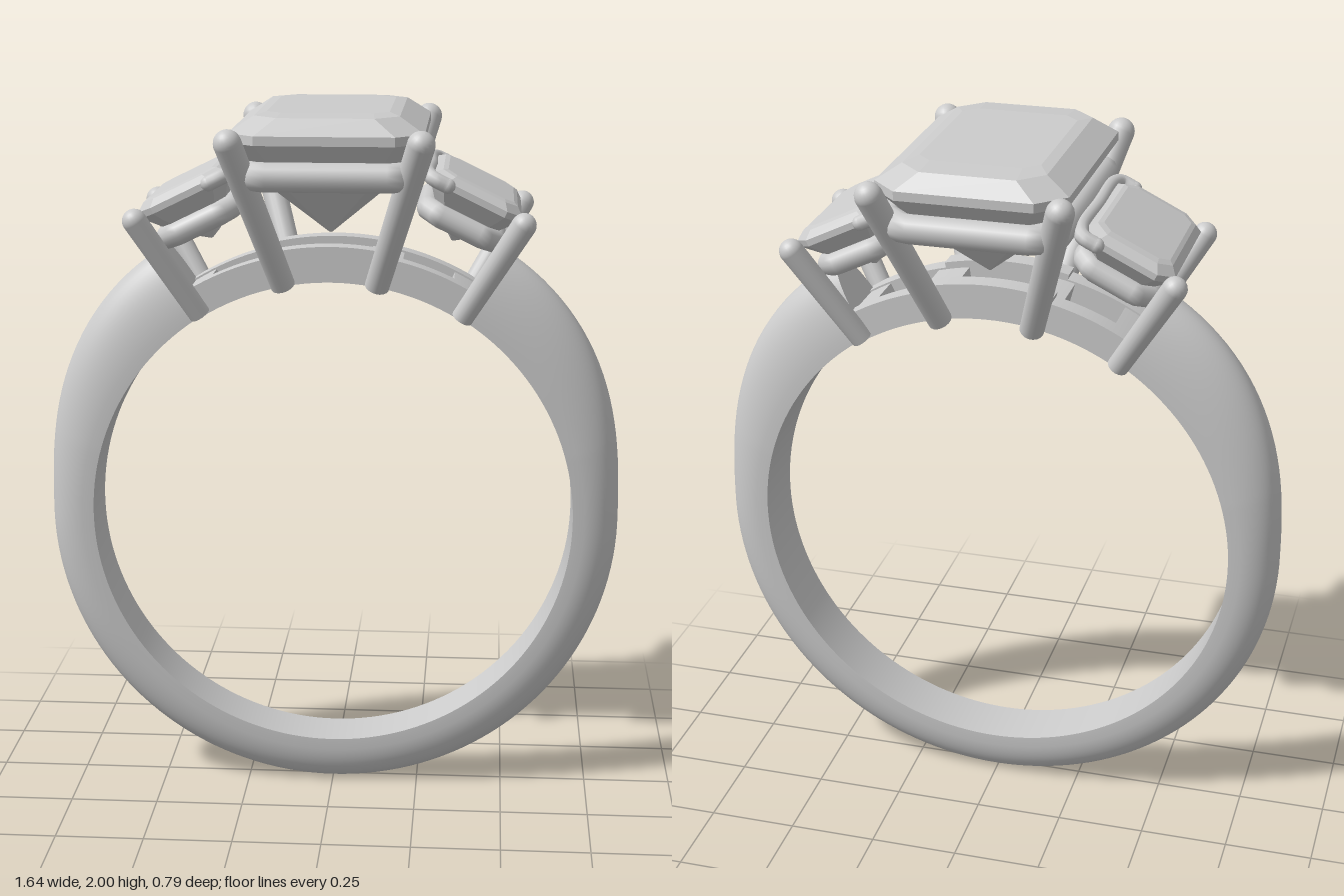
import * as THREE from 'three';
import { ParametricGeometry } from 'three/addons/geometries/ParametricGeometry.js';

const CY = 0.83, R_IN = 0.69, OPEN = 0.55; // ring centre height, finger radius, half angle of the open top

const metal = new THREE.MeshStandardMaterial({ color: 0xcccccc });
const metalThin = new THREE.MeshStandardMaterial({ color: 0xcccccc, side: THREE.DoubleSide });
const gem = new THREE.MeshStandardMaterial({ color: 0xcccccc, flatShading: true });

function add(parent, name, geometry, material = metal) {
  const mesh = new THREE.Mesh(geometry, material);
  mesh.name = name;
  parent.add(mesh);
  return mesh;
}

// Point of the D-shaped band: t is the angle from the top, s runs over the dome, k goes from flat (0) to dome (1)
function bandPoint(t, s, k, target) {
  const up = (1 + Math.cos(t)) / 2;
  const width = 0.08 + 0.018 * Math.min(1, up * 1.6);
  const swell = THREE.MathUtils.smoothstep(Math.cos(t), 0.0, 0.85);
  const outer = 0.822 + 0.085 * swell + 0.008 * Math.max(0, -Math.cos(t));
  const a = s * Math.PI;
  const shoulder = R_IN + 0.035;
  const dome = s <= 0 || s >= 1 ? R_IN : shoulder + (outer - shoulder) * Math.sin((s - 0.04) / 0.92 * Math.PI);
  const r = THREE.MathUtils.lerp(R_IN, dome, k);
  const z = width * Math.sign(Math.cos(a)) * Math.pow(Math.abs(Math.cos(a)), 0.9);
  target.set(Math.sin(t) * r, CY + Math.cos(t) * r, z);
}

// Step-cut stone lofted from octagons, bottom to top: [halfWidth, halfDepth, cornerCut, y]
function stepCut(levels) {
  const rings = levels.map(([w, d, c, y]) => {
    const e = w - c, f = d - c;
    return [[w, -f], [e, -d], [-e, -d], [-w, -f], [-w, f], [-e, d], [e, d], [w, f]].map(([x, z]) => [x, y, z]);
  });
  const pos = [];
  const tri = (...pts) => pts.forEach((p) => pos.push(...p));
  for (let l = 0; l < rings.length - 1; l++) {
    const a = rings[l], b = rings[l + 1];
    for (let i = 0; i < 8; i++) {
      const j = (i + 1) % 8;
      tri(a[i], a[j], b[j]);
      tri(a[i], b[j], b[i]);
    }
  }
  const low = rings[0], top = rings[rings.length - 1];
  for (let i = 1; i < 7; i++) {
    tri(top[0], top[i], top[i + 1]);
    tri(low[0], low[i + 1], low[i]);
  }
  const g = new THREE.BufferGeometry();
  g.setAttribute('position', new THREE.Float32BufferAttribute(pos, 3));
  g.computeVertexNormals();
  return g;
}

// Closed round wire following a rectangle with cut corners
function wireFrame(w, d, c, y, radius) {
  const e = w - c, f = d - c;
  const pts = [[w, -f], [e, -d], [-e, -d], [-w, -f], [-w, f], [-e, d], [e, d], [w, f]]
    .map(([x, z]) => new THREE.Vector3(x, y, z));
  const path = new THREE.CurvePath();
  pts.forEach((p, i) => path.add(new THREE.LineCurve3(p, pts[(i + 1) % 8])));
  return new THREE.TubeGeometry(path, 96, radius, 14, true);
}

// Round-tipped claw between two points
function prong(parent, name, base, tip, radius) {
  const a = new THREE.Vector3(...base), b = new THREE.Vector3(...tip);
  const dir = b.clone().sub(a), len = dir.length();
  const profile = [new THREE.Vector2(0, 0), new THREE.Vector2(radius * 0.9, 0), new THREE.Vector2(radius * 0.9, 0)];
  for (let i = 0; i <= 8; i++) {
    const q = (i / 8) * Math.PI / 2;
    profile.push(new THREE.Vector2(radius * Math.cos(q), len + radius * Math.sin(q)));
  }
  const mesh = add(parent, name, new THREE.LatheGeometry(profile, 18));
  mesh.position.copy(a);
  mesh.quaternion.setFromUnitVectors(new THREE.Vector3(0, 1, 0), dir.normalize());
}

// Curved block between two angles from the top
function arcBlock(parent, name, r0, r1, a0, a1, z0, z1) {
  const shape = new THREE.Shape();
  const h = Math.PI / 2;
  shape.absarc(0, 0, r1, h - a0, h - a1, true);
  shape.absarc(0, 0, r0, h - a1, h - a0, false);
  shape.closePath();
  const g = new THREE.ExtrudeGeometry(shape, { depth: z1 - z0, bevelEnabled: false, curveSegments: 24 });
  add(parent, name, g).position.set(0, CY, z0);
}

export function createModel() {
  const root = new THREE.Group();
  root.name = 'threeStoneRing';

  // Band: domed outside, flat inside, closed ends
  const band = new THREE.Group();
  band.name = 'band';
  root.add(band);
  const angle = (u) => OPEN + u * (2 * Math.PI - 2 * OPEN);
  add(band, 'bandOuter', new ParametricGeometry((u, v, p) => bandPoint(angle(u), v, 1, p), 128, 28), metalThin);
  add(band, 'bandInner', new ParametricGeometry((u, v, p) => bandPoint(angle(u), 1 - v, 0, p), 128, 4), metalThin);
  for (const end of [0, 1]) {
    add(band, 'bandEnd', new ParametricGeometry(
      (u, v, p) => bandPoint(angle(end), v, end ? 1 - u : u, p), 2, 28), metalThin);
  }

  // Gallery under the stones: two curved rails and cross bars leaving three windows
  const gallery = new THREE.Group();
  gallery.name = 'gallery';
  root.add(gallery);
  for (const z of [-0.125, 0.065]) {
    arcBlock(gallery, 'galleryRail', R_IN, 0.79, -0.23, 0.23, z, z + 0.06);
    for (const s of [-1, 1]) {
      const a = [s * 0.23, s * 0.56].sort((p, q) => p - q);
      arcBlock(gallery, 'gallerySideRail', R_IN, 0.775, a[0], a[1], z, z + 0.06);
    }
  }
  for (const a of [-0.52, -0.2, 0.2, 0.52]) {
    arcBlock(gallery, 'galleryCrossBar', R_IN, 0.77, a - 0.06, a + 0.06, -0.1, 0.1);
  }

  // Centre stone with its wire and four claws
  const centre = new THREE.Group();
  centre.name = 'centreSetting';
  root.add(centre);
  add(centre, 'centreStone', stepCut([
    [0.004, 0.11, 0.003, 1.66], [0.15, 0.25, 0.045, 1.79], [0.22, 0.32, 0.06, 1.88],
    [0.262, 0.363, 0.075, 1.925], [0.262, 0.363, 0.075, 1.95],
    [0.195, 0.322, 0.065, 1.994], [0.165, 0.24, 0.04, 2.0],
  ]), gem);
  add(centre, 'centreWire', wireFrame(0.225, 0.325, 0.05, 1.838, 0.04));
  for (const x of [-1, 1]) for (const z of [-1, 1]) {
    prong(centre, 'centreProng', [x * 0.13, 1.515, z * 0.15], [x * 0.255, 1.93, z * 0.358], 0.038);
  }

  // Side stones, tilted outward along the band
  for (const s of [-1, 1]) {
    const side = new THREE.Group();
    side.name = s > 0 ? 'leftSetting' : 'rightSetting';
    root.add(side);
    const seat = new THREE.Group();
    seat.name = 'sideSeat';
    seat.position.set(s * 0.4, 1.77, 0);
    seat.rotation.z = -s * 0.454;
    side.add(seat);
    add(seat, 'sideStone', stepCut([
      [0.003, 0.08, 0.002, -0.15], [0.075, 0.15, 0.025, -0.09], [0.115, 0.2, 0.035, -0.035],
      [0.135, 0.225, 0.045, -0.01], [0.135, 0.225, 0.045, 0.008],
      [0.113, 0.2, 0.038, 0.026], [0.1, 0.175, 0.028, 0.03],
    ]), gem);
    add(seat, 'sideWire', wireFrame(0.1, 0.175, 0.035, -0.09, 0.033));

    // Bar hooked around the inner end of the stone
    const hook = [[-0.085, 0.235], [-0.125, 0.232], [-0.143, 0.19], [-0.143, 0], [-0.143, -0.19], [-0.125, -0.232], [-0.085, -0.235]]
      .map(([x, z]) => new THREE.Vector3(s * x, 0, z));
    add(seat, 'innerBar', new THREE.TubeGeometry(new THREE.CatmullRomCurve3(hook), 48, 0.021, 10));
    for (const i of [0, hook.length - 1]) {
      add(seat, 'innerBarTip', new THREE.SphereGeometry(0.021, 12, 8)).position.copy(hook[i]);
    }
    for (const z of [-1, 1]) {
      prong(side, 'sideProng', [s * 0.366, 1.425, z * 0.128], [s * 0.53, 1.7, z * 0.215], 0.034);
    }
  }
  return root;
}
